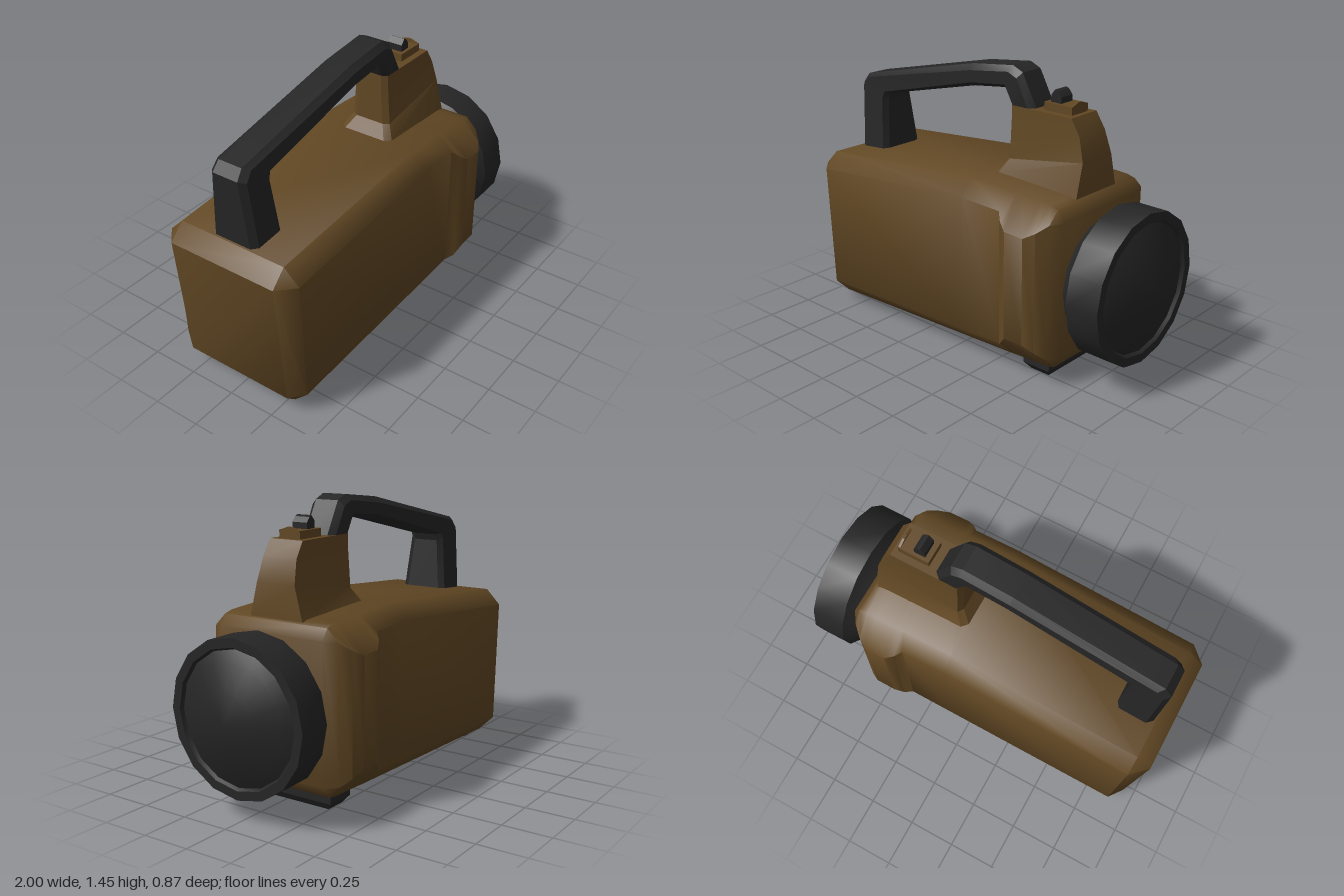
import * as THREE from 'three';
import { toCreasedNormals } from 'three/addons/utils/BufferGeometryUtils.js';

// Skin a row of equal-length point rings and cap both ends
function loft(rings, crease) {
  const pos = [];
  const tri = (a, b, c) => pos.push(...a, ...b, ...c);
  const n = rings[0].length;
  for (let i = 0; i < rings.length - 1; i++) {
    for (let j = 0; j < n; j++) {
      const k = (j + 1) % n;
      const a = rings[i][j], b = rings[i][k], c = rings[i + 1][k], d = rings[i + 1][j];
      tri(a, b, c);
      tri(a, c, d);
    }
  }
  const first = rings[0], last = rings[rings.length - 1];
  for (let j = 1; j < n - 1; j++) {
    tri(first[0], first[j + 1], first[j]);
    tri(last[0], last[j], last[j + 1]);
  }
  const g = new THREE.BufferGeometry();
  g.setAttribute('position', new THREE.Float32BufferAttribute(pos, 3));
  return toCreasedNormals(g, crease);
}

// Chamfered section between an upper and a lower point in the xy plane,
// w = half width, t = half width of the flats, cu / cl = chamfer heights
function section(up, low, w, t, cu, cl) {
  const len = Math.hypot(up[0] - low[0], up[1] - low[1]);
  const at = (s, z) => [up[0] + (low[0] - up[0]) * s, up[1] + (low[1] - up[1]) * s, z];
  const a = cu / len, b = 1 - cl / len;
  return [at(0, t), at(a, w), at(b, w), at(1, t), at(1, -t), at(b, -w), at(a, -w), at(0, -t)];
}

// Horizontal rectangle, optionally sloped from y0 (at x0) to y1 (at x1), chamfered at x0
function level(x0, x1, w, y0, y1 = y0, cx = 0, cz = 0) {
  return [[x1, y1, w], [x1, y1, -w], [x0 + cx, y0, -w], [x0, y0, -w + cz], [x0, y0, w - cz], [x0 + cx, y0, w]];
}

export function createModel() {
  const model = new THREE.Group();
  const brown = new THREE.MeshStandardMaterial({ color: 0x624824 });
  brown.name = 'brown casing';
  const black = new THREE.MeshStandardMaterial({ color: 0x262626 });
  black.name = 'black plastic';
  const add = (name, geometry, material) => {
    const mesh = new THREE.Mesh(geometry, material);
    mesh.name = name;
    model.add(mesh);
    return mesh;
  };

  // Casing with a sloped back and side bulges: [xTop, yTop, xLow, yLow, w, upper chamfer, lower chamfer]
  const body = [
    [-1.0, 0.77, -0.94, 0.09, 0.3, 0, 0],
    [-0.92, 0.85, -0.88, 0.035, 0.38, 0.08, 0.08],
    [0.1, 0.93, 0.1, 0.067, 0.38, 0.08, 0.08],
    [0.34, 0.92, 0.34, 0.075, 0.38, 0.08, 0.08],
    [0.375, 0.918, 0.375, 0.077, 0.412, 0.11, 0.1],
    [0.42, 0.915, 0.42, 0.079, 0.435, 0.14, 0.15],
    [0.53, 0.91, 0.53, 0.083, 0.435, 0.14, 0.15],
    [0.58, 0.907, 0.58, 0.085, 0.405, 0.11, 0.11],
    [0.625, 0.895, 0.62, 0.095, 0.36, 0.06, 0.06],
    [0.663, 0.84, 0.655, 0.15, 0.3, 0, 0],
  ];
  add('casing', loft(body.map(([xt, yt, xl, yl, w, cu, cl]) =>
    section([xt, yt], [xl, yl], w, 0.3, cu, cl)), 0.85), brown);

  // Handle: [outer x, outer y, inner x, inner y, half width]
  const grip = [
    [-0.907, 0.82, -0.708, 0.82, 0.133],
    [-0.928, 1.2, -0.737, 1.13, 0.1],
    [-0.89, 1.25, -0.725, 1.165, 0.095],
    [-0.11, 1.418, -0.1, 1.308, 0.095],
    [0.15, 1.446, 0.115, 1.333, 0.095],
    [0.21, 1.42, 0.14, 1.285, 0.095],
    [0.3, 1.255, 0.165, 1.235, 0.095],
    [0.32, 1.2, 0.19, 1.2, 0.08],
  ];
  add('handle', loft(grip.map(([ox, oy, ix, iy, w]) =>
    section([ox, oy], [ix, iy], w, w - 0.03, 0.03, 0.02)), 0.4), black);

  // Flared mount holding the front end of the handle
  add('handleMount', loft([
    level(0.1, 0.613, 0.152, 0.925, 0.9, 0.03, 0.03),
    level(0.15, 0.613, 0.11, 0.995, 1.065, 0.02, 0.03),
    level(0.15, 0.58, 0.097, 1.18, 1.18, 0.02, 0.03),
    level(0.15, 0.53, 0.095, 1.26, 1.26, 0.02, 0.03),
  ], 0.4), brown);

  // Switch plate with a small ridge in front, and the switch
  add('switchPlate', loft([
    level(0.34, 0.505, 0.06, 1.25), level(0.34, 0.505, 0.06, 1.3),
  ], 0.3), brown);
  add('switchRidge', loft([
    level(0.493, 0.505, 0.06, 1.298), level(0.493, 0.505, 0.012, 1.315),
  ], 0.3), brown);
  add('switch', loft([
    level(0.367, 0.427, 0.042, 1.295),
    level(0.367, 0.427, 0.042, 1.335, 1.33),
    level(0.39, 0.407, 0.042, 1.363, 1.355),
  ], 0.3), black);

  // Lamp head: flared collar, rim and domed lens
  const profile = [
    [0, 0.64], [0.29, 0.65], [0.3, 0.67], [0.38, 0.74], [0.38, 0.917],
    [0.335, 0.917], [0.325, 0.9], [0.27, 0.928], [0.14, 0.975], [0, 1.0],
  ].map(([r, x]) => new THREE.Vector2(r, x - 0.8));
  const lamp = add('lampHead', toCreasedNormals(
    new THREE.LatheGeometry(profile, 16).rotateZ(-Math.PI / 2), 0.5), black);
  lamp.position.set(0.8, 0.49, 0);
  lamp.rotation.z = -0.012;

  // Feet
  add('frontFoot', loft([
    level(0.435, 0.545, 0.245, 0),
    level(0.408, 0.567, 0.272, 0.035),
    level(0.408, 0.567, 0.272, 0.1),
  ], 0.3), black);
  add('rearFoot', loft([
    level(-0.83, -0.79, 0.245, 0),
    level(-0.865, -0.765, 0.272, 0.035),
    level(-0.865, -0.765, 0.272, 0.06),
  ], 0.3), black);

  return model;
}
